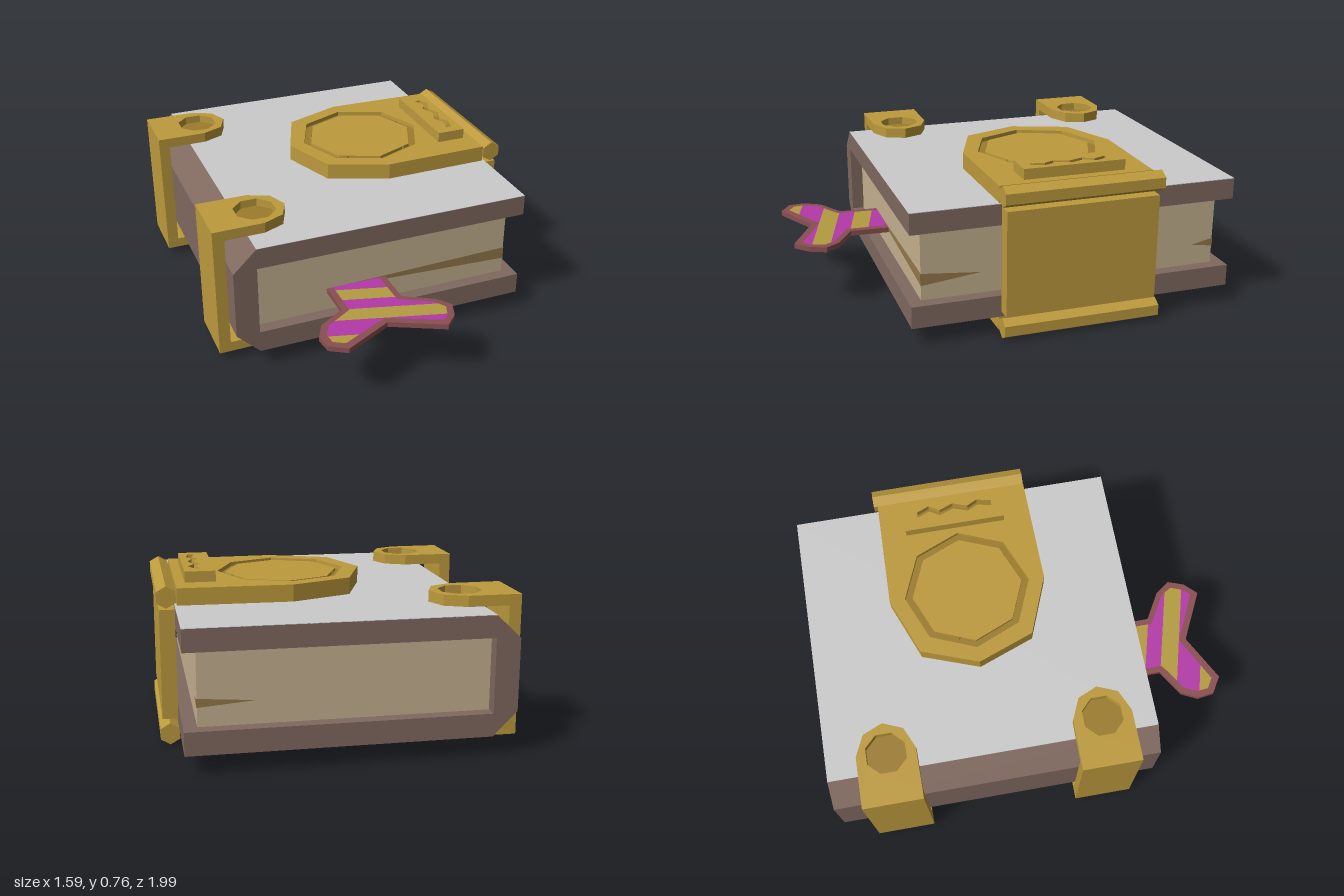
import * as THREE from 'three';

const mat = (color) => new THREE.MeshStandardMaterial({ color, flatShading: true, side: THREE.DoubleSide });
const GOLD = mat(0xbd9a3c), DARK_GOLD = mat(0x9c7c2c), COVER = mat(0x80695f), GREY = mat(0xcccccc);
const PAGES = mat(0xc6b290), STAIN = mat(0x94794a), MAROON = mat(0x8a4f52), PURPLE = mat(0xb43aa8), STRIPE = mat(0xb39c40);

function add(parent, name, geometry, material) {
  const mesh = new THREE.Mesh(geometry, material);
  mesh.name = name;
  parent.add(mesh);
  return mesh;
}

// Box given by its minimum and maximum on each axis
function box(x0, x1, y0, y1, z0, z1) {
  return new THREE.BoxGeometry(x1 - x0, y1 - y0, z1 - z0)
    .translate((x0 + x1) / 2, (y0 + y1) / 2, (z0 + z1) / 2);
}

// Horizontal slab from an [x, z] outline, with optional holes
function slab(outline, y0, y1, holes = []) {
  const toV = ([x, z]) => new THREE.Vector2(x, -z);
  const shape = new THREE.Shape(outline.map(toV));
  holes.forEach((h) => shape.holes.push(new THREE.Path(h.map(toV))));
  return new THREE.ExtrudeGeometry(shape, { depth: y1 - y0, bevelEnabled: false })
    .rotateX(-Math.PI / 2).translate(0, y0, 0);
}

function ngon(cx, cz, r, n, start = 0) {
  return Array.from({ length: n }, (_, i) => {
    const a = start + (i / n) * Math.PI * 2;
    return [cx + Math.cos(a) * r, cz + Math.sin(a) * r];
  });
}

// Flat polygons as a triangle fan each
function fans(polys) {
  const pos = [];
  polys.forEach((p) => {
    for (let i = 1; i < p.length - 1; i++) pos.push(...p[0], ...p[i], ...p[i + 1]);
  });
  const g = new THREE.BufferGeometry();
  g.setAttribute('position', new THREE.Float32BufferAttribute(pos, 3));
  g.computeVertexNormals();
  return g;
}

function makeBook() {
  const book = new THREE.Group();
  book.name = 'book';
  // Cover boards and chamfered spine as one C-shaped section
  const section = [[-0.74, 0.2], [-0.63, 0.09], [0.71, 0.09], [0.71, 0.195], [-0.63, 0.195],
    [-0.63, 0.535], [0.71, 0.535], [0.71, 0.635], [-0.63, 0.635], [-0.74, 0.53]];
  const shape = new THREE.Shape(section.map(([x, y]) => new THREE.Vector2(x, y)));
  add(book, 'cover', new THREE.ExtrudeGeometry(shape, { depth: 1.57, bevelEnabled: false }).translate(0, 0, -1), COVER);
  add(book, 'coverTop', box(-0.63, 0.71, 0.634, 0.637, -1, 0.57), GREY);
  add(book, 'pages', box(-0.64, 0.65, 0.19, 0.54, -0.94, 0.51), PAGES);
  // Dark wedges between the page leaves
  add(book, 'pageStains', fans([
    [[0.652, 0.27, 0.512], [0.652, 0.33, 0.512], [-0.3, 0.31, 0.512]],
    [[0.652, 0.265, 0.512], [0.652, 0.325, 0.23], [0.652, 0.325, 0.512]].map((p, i) => (i === 1 ? [0.652, 0.297, 0.23] : p)),
    [[0.652, 0.28, -0.942], [0.652, 0.297, -0.83], [0.652, 0.32, -0.942]],
    [[0.652, 0.28, -0.942], [0.652, 0.32, -0.942], [0.4, 0.3, -0.942]],
  ]), STAIN);
  return book;
}

// Bracket wrapped around the spine, with a rounded tab and dimple on each cover
function makeBracket(zc) {
  const g = new THREE.Group();
  g.name = 'spineBracket';
  const tab = [[-0.74, -0.142], [-0.55, -0.14], [-0.45, -0.095], [-0.41, 0], [-0.45, 0.095], [-0.55, 0.14], [-0.74, 0.142]];
  const dimple = ngon(-0.555, 0, 0.1, 8, Math.PI / 8);
  add(g, 'bracketStrap', box(-0.795, -0.74, 0.04, 0.69, -0.142, 0.142), GOLD);
  for (const [y0, y1, f0, f1] of [[0.64, 0.69, 0.64, 0.652], [0.04, 0.09, 0.078, 0.09]]) {
    add(g, 'bracketTab', slab(tab, y0, y1, [dimple]), GOLD);
    add(g, 'bracketDimple', slab(dimple, f0, f1), DARK_GOLD);
  }
  g.position.z = zc;
  return g;
}

function makeClasp() {
  const clasp = new THREE.Group();
  clasp.name = 'clasp';
  const cx = 0.18, cz = -0.21;
  const outline = [[0.7, -0.58], [0.18, -0.59], [-0.1, -0.48], [-0.2, cz], [-0.1, 0.06], [0.18, 0.17], [0.7, 0.16]];
  const outer = ngon(cx, cz, 0.305, 8), inner = ngon(cx, cz, 0.268, 8);
  add(clasp, 'topPlate', slab(outline, 0.637, 0.715, [outer]), GOLD);
  add(clasp, 'bottomPlate', slab(outline, 0.02, 0.088), GOLD);

  // Medallion with a sunken groove and a star-shaped pit
  const tips = ngon(cx, cz, 0.26, 5, -Math.PI / 2);
  const notches = ngon(cx, cz, 0.13, 5, -Math.PI / 2 + Math.PI / 5);
  const star = tips.flatMap((t, i) => [t, notches[i]]);
  add(clasp, 'medallionGroove', slab(outer, 0.637, 0.695, [inner]), DARK_GOLD);
  add(clasp, 'medallion', slab(inner, 0.637, 0.71, [star]), GOLD);
  add(clasp, 'starFloor', slab(notches, 0.637, 0.645), GOLD);
  [0x94a028, 0xb8765c, 0xa878a8, 0x74988c, 0xb8862c].forEach((color, i) => {
    const a = notches[(i + 4) % 5], b = notches[i], t = tips[i];
    add(clasp, 'starPoint', fans([[[a[0], 0.645, a[1]], [b[0], 0.645, b[1]], [t[0], 0.705, t[1]]].reverse()]), mat(color));
  });

  // Small plaque with a wavy slot
  const wave = [[0.59, -0.39], [0.615, -0.33], [0.585, -0.28], [0.61, -0.21], [0.585, -0.14], [0.61, -0.09], [0.595, -0.02]];
  const slot = [...wave.map(([x, z]) => [x - 0.013, z]), ...wave.map(([x, z]) => [x + 0.015, z]).reverse()];
  const rect = [[0.515, -0.46], [0.655, -0.46], [0.655, 0.03], [0.515, 0.03]];
  add(clasp, 'plaque', slab(rect, 0.71, 0.765, [slot]), GOLD);
  add(clasp, 'plaqueSlotFloor', slab(slot, 0.71, 0.735), DARK_GOLD);

  // Side plate between two six-sided hinge pins
  add(clasp, 'sidePlate', box(0.71, 0.78, 0.115, 0.62, -0.58, 0.15), GOLD);
  for (const y of [0.05, 0.68]) {
    const pin = new THREE.CylinderGeometry(0.05, 0.05, 0.76, 6).rotateX(Math.PI / 2);
    add(clasp, 'hingePin', pin.translate(0.748, y, -0.22), GOLD);
  }
  return clasp;
}

// Keep the part of a convex [x, z] polygon where side * (f - limit) >= 0
function clip(poly, limit, side) {
  const f = ([x, z]) => side * (z - 0.28 * x - limit);
  return poly.flatMap((p, i) => {
    const q = poly[(i + 1) % poly.length], a = f(p), b = f(q), out = a >= 0 ? [p] : [];
    if (a * b < 0) out.push([p[0] + (q[0] - p[0]) * a / (a - b), p[1] + (q[1] - p[1]) * a / (a - b)]);
    return out;
  });
}

// Forked ribbon with diagonal stripes
function makeBookmark() {
  const ribbon = new THREE.Group();
  ribbon.name = 'bookmark';
  const edge = [[-0.28, 0.45], [-0.28, 0.7], [-0.41, 0.78], [-0.45, 0.86], [-0.44, 0.94], [-0.36, 0.99],
    [-0.13, 0.87], [0.11, 0.99], [0.17, 0.93], [0.2, 0.85], [0.15, 0.78], [0.015, 0.7], [0.015, 0.45]];
  const inset = [[-0.25, 0.45], [-0.25, 0.715], [-0.385, 0.8], [-0.415, 0.865], [-0.41, 0.92], [-0.36, 0.95],
    [-0.13, 0.835], [0.11, 0.95], [0.14, 0.92], [0.165, 0.855], [0.13, 0.8], [-0.015, 0.715], [-0.015, 0.45]];
  const tilt = ([x, z]) => [x, 0.316 + 0.02 * (z - 0.7), z];
  const base = slab(edge, 0.29, 0.315), p = base.attributes.position;
  for (let i = 0; i < p.count; i++) p.setY(i, p.getY(i) + 0.02 * (p.getZ(i) - 0.7));
  add(ribbon, 'ribbonBase', base, MAROON);
  const triangles = THREE.ShapeUtils.triangulateShape(inset.map(([x, z]) => new THREE.Vector2(x, z)), [])
    .map((t) => t.map((i) => inset[i]).reverse());
  const limits = [0.4, 0.61, 0.7, 0.78, 0.87, 0.99, 1.2];
  for (let i = 0; i < limits.length - 1; i++) {
    const band = triangles.map((t) => clip(clip(t, limits[i], 1), limits[i + 1], -1)).filter((b) => b.length > 2);
    const geo = fans(band.map((b) => {
      // Order every piece so that it faces up
      const area = b.reduce((s, [x, z], k) => { const [u, w] = b[(k + 1) % b.length]; return s + x * w - u * z; }, 0);
      return (area > 0 ? [...b].reverse() : b).map(tilt);
    }));
    add(ribbon, 'ribbonStripe', geo, i % 2 ? STRIPE : PURPLE);
  }
  return ribbon;
}

export function createModel() {
  const model = new THREE.Group();
  model.name = 'claspedBook';
  model.add(makeBook(), makeBracket(-0.71), makeBracket(0.312), makeClasp(), makeBookmark());
  return model;
}
